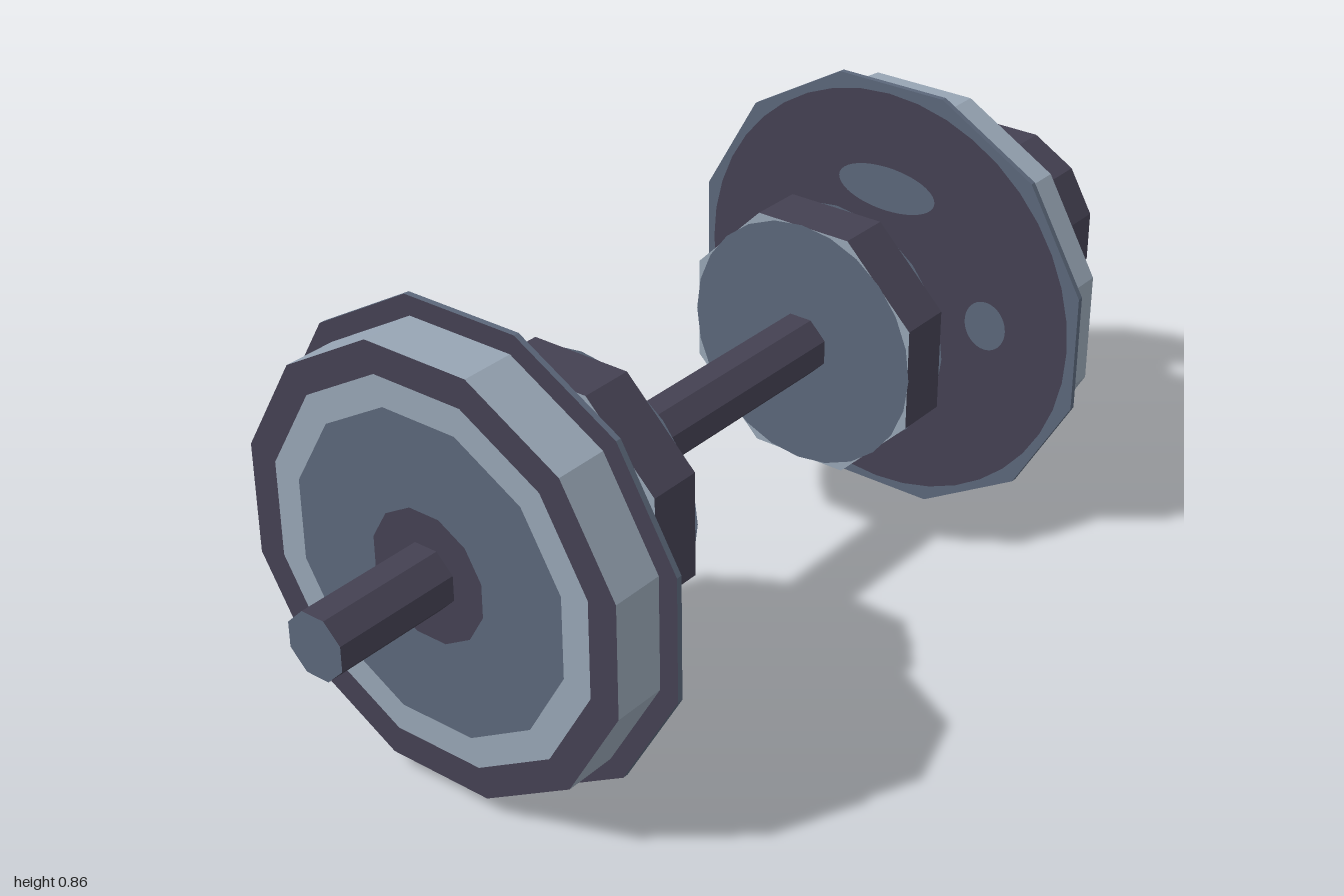
import * as THREE from 'three';

const mat = (name, color) =>
  new THREE.MeshStandardMaterial({ name, color, flatShading: true, side: THREE.DoubleSide });

export function createModel() {
  const dark = mat('dark iron', 0x444152);
  const slate = mat('slate', 0x5b677a);
  const light = mat('light steel', 0x97a5b4);
  const red = mat('red paint', 0x85313b);

  const model = new THREE.Group();
  const Y = 0.432; // axle height

  const add = (parent, name, geo, material, x = 0) => {
    const m = new THREE.Mesh(geo, material);
    m.name = name;
    m.position.x = x;
    parent.add(m);
    return m;
  };
  // Prism along x with a flat side on top; materials are [side, +x cap, -x cap]
  const drum = (r, x0, x1, n, open = false, start = Math.PI / n) =>
    new THREE.CylinderGeometry(r, r, x1 - x0, n, 1, open, start)
      .rotateZ(-Math.PI / 2).translate((x0 + x1) / 2, 0, 0);
  // Flat polygonal ring facing +x (dir 1) or -x (dir -1)
  const ring = (r0, r1, n, dir) =>
    new THREE.RingGeometry(r0, r1, n, 1, Math.PI / n).rotateY(dir * Math.PI / 2);

  const root = new THREE.Group();
  root.name = 'wheelset';
  root.position.y = Y;
  model.add(root);

  // Axle
  add(root, 'axle', drum(0.061, -1, 0.92, 8), [dark, dark, slate]);

  // Flange's inner plate: a dark disc with oval openings showing the slate behind
  const plate = new THREE.Shape().absarc(0, 0, 0.415, 0, Math.PI * 2);
  for (const s of [-1, 1]) {
    plate.holes.push(
      new THREE.Path().absellipse(0, s * 0.22, 0.11, 0.045, 0, Math.PI * 2),
      new THREE.Path().absellipse(s * 0.235, 0, 0.045, 0.05, 0, Math.PI * 2));
  }

  // Wheels and inner discs, mirrored about x = -0.05
  for (const s of [-1, 1]) {
    const side = s > 0 ? 'left' : 'right';
    const at = (d) => -0.05 + s * d;
    const span = (a, b) => [Math.min(at(a), at(b)), Math.max(at(a), at(b))];

    const wheel = new THREE.Group();
    wheel.name = side + 'Wheel';
    root.add(wheel);
    add(wheel, 'flange', drum(0.446, ...span(0.587, 0.598), 12),
      s > 0 ? [slate, dark, slate] : [slate, slate, dark]);
    add(wheel, 'flangePlate',
      new THREE.ShapeGeometry(plate, 20).rotateY(-s * Math.PI / 2), dark, at(0.584));
    add(wheel, 'tread', drum(0.409, ...span(0.598, 0.7), 12, true), light);
    // Painted bands of the outer face
    const bands = [
      ['hubBand', 0.001, 0.122, dark], ['webBand', 0.122, 0.295, slate],
      ['rimBand', 0.295, 0.351, light], ['edgeBand', 0.351, 0.409, dark],
    ];
    for (const [name, r0, r1, m] of bands) add(wheel, name, ring(r0, r1, 12, s), m, at(0.7));

    const disc = new THREE.Group();
    disc.name = side + 'InnerDisc';
    root.add(disc);
    add(disc, 'discBody', drum(0.261, ...span(0.313, 0.418), 8), [dark, light, light]);
    for (const [d, dir] of [[0.311, -s], [0.42, s]]) {
      add(disc, 'discFace',
        new THREE.CircleGeometry(0.245, 24).rotateY(dir * Math.PI / 2), slate, at(d));
    }
  }

  // Spoked end wheel
  const end = new THREE.Group();
  end.name = 'endWheel';
  root.add(end);
  add(end, 'rimOutside', drum(0.194, 0.9, 1, 12, true), dark);
  add(end, 'rimInside', drum(0.173, 0.9, 1, 12, true), dark);
  add(end, 'rimFront', ring(0.173, 0.194, 12, 1), red, 1);
  add(end, 'rimBack', ring(0.173, 0.194, 12, -1), dark, 0.9);
  const spokeMats = [red, dark, dark, dark, dark, dark];
  add(end, 'uprightSpoke', new THREE.BoxGeometry(0.04, 0.332, 0.078), spokeMats, 0.94);
  add(end, 'levelSpoke', new THREE.BoxGeometry(0.038, 0.078, 0.332), spokeMats, 0.94);
  add(end, 'hub', drum(0.087, 0.91, 0.98, 8, false, 0), [red, red, dark]);

  return model;
}
